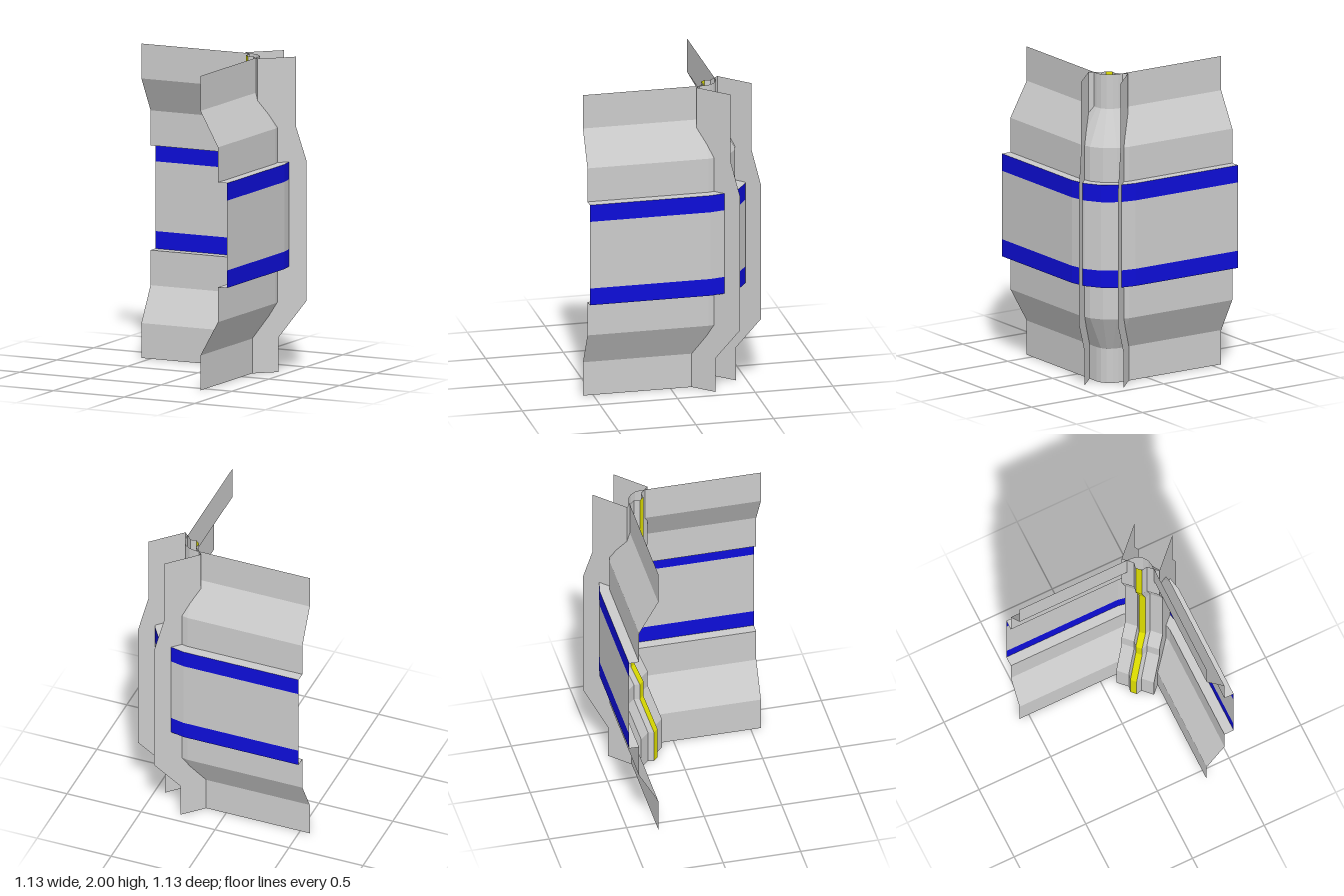
import * as THREE from 'three';

const grey = new THREE.MeshStandardMaterial({ color: 0xcccccc, flatShading: true, side: THREE.DoubleSide });
const blue = grey.clone();
blue.color.set(0x0d0dd8);
const yellow = grey.clone();
yellow.color.set(0xe0e000);

// Sheet skinned over rows of [x, y, z] points, listed bottom to top
function sheet(name, rows, material) {
  const n = rows[0].length, index = [];
  for (let r = 0; r < rows.length - 1; r++) {
    for (let i = 0; i < n - 1; i++) {
      const a = r * n + i, b = a + 1, c = a + n, d = c + 1;
      index.push(a, b, d, a, d, c);
    }
  }
  const geo = new THREE.BufferGeometry();
  geo.setAttribute('position', new THREE.Float32BufferAttribute(rows.flat(2), 3));
  geo.setIndex(index);
  geo.computeVertexNormals();
  const mesh = new THREE.Mesh(geo, material);
  mesh.name = name;
  return mesh;
}

// L-shaped plan line with a rounded corner, at a given distance from the axes
const END = 0.565, CENTRE = 0.213, SEGMENTS = 4;
function wallRow([y, offset]) {
  const row = [[-END, y, -offset]];
  for (let i = 0; i <= SEGMENTS; i++) {
    const a = (i / SEGMENTS) * Math.PI / 2, r = offset - CENTRE;
    row.push([CENTRE + r * Math.sin(a), y, -CENTRE - r * Math.cos(a)]);
  }
  row.push([offset, y, END]);
  return row;
}

// Point on the corner diagonal: t across it, d outward along it
const diagonal = (t, d, y) => [(d + t) * Math.SQRT1_2, y, (t - d) * Math.SQRT1_2];

export function createModel() {
  const model = new THREE.Group();

  // Corner wall, as [height, offset] profiles
  const IN = 0.312, MID = 0.436, OUT = 0.5;
  const wall = new THREE.Group();
  wall.name = 'cornerWall';
  const wallParts = [
    ['lowerWall', [[0, IN], [0.222, IN], [0.444, MID], [0.667, MID], [0.667, OUT]], grey],
    ['lowerStripe', [[0.667, OUT], [0.778, OUT]], blue],
    ['middleWall', [[0.778, OUT], [1.222, OUT]], grey],
    ['upperStripe', [[1.222, OUT], [1.333, OUT]], blue],
    ['upperWall', [[1.333, OUT], [1.333, MID], [1.556, MID], [1.778, IN], [2, IN]], grey],
  ];
  for (const [name, profile, material] of wallParts) {
    wall.add(sheet(name, profile.map(wallRow), material));
  }
  model.add(wall);

  // Corner pillar: [height, front distance, back distance] along the diagonal
  const levels = [
    [0, 0.247, 0.49], [0.222, 0.247, 0.49], [0.444, 0.351, 0.673], [0.556, 0.351, 0.673],
    [0.667, 0.415, 0.673], [1.333, 0.415, 0.673], [1.556, 0.351, 0.603], [2, 0.351, 0.603],
  ];
  const HALF = 0.125, RIB = 0.042, LIGHT = 0.021, NOSE = 0.031;
  const pillar = new THREE.Group();
  pillar.name = 'cornerPillar';
  const strip = (name, section, material) => pillar.add(sheet(name,
    levels.map(([y, front, back]) => section(front, back).map(([t, d]) => diagonal(t, d, y))), material));

  // Side fin, front face and rib flank on each side of the light strip
  strip('rightPillarSide', (f, b) => [[-HALF, b], [-HALF, f], [-RIB, f], [-LIGHT, f - NOSE]], grey);
  strip('lightStrip', (f) => [[-LIGHT, f - NOSE], [LIGHT, f - NOSE]], yellow);
  strip('leftPillarSide', (f, b) => [[LIGHT, f - NOSE], [RIB, f], [HALF, f], [HALF, b]], grey);
  model.add(pillar);

  return model;
}
